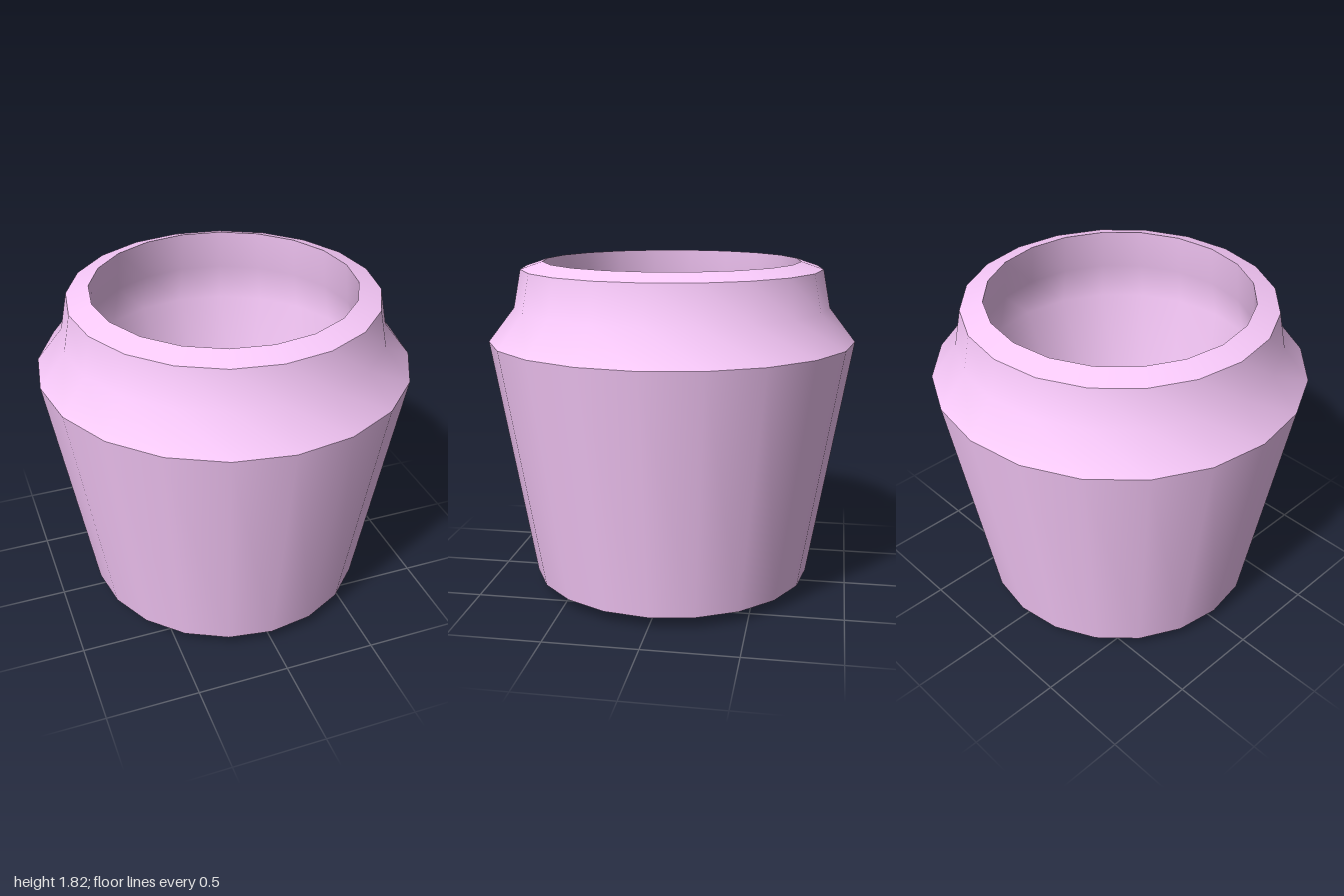
import * as THREE from 'three';

const SIDES = 20;

// Each band is turned separately, so edges between bands stay sharp
// while each band shades smoothly around the axis.
const BANDS = {
  base: [[0, 0], [0.775, 0.065]],
  body: [[0.775, 0.065], [1, 1.395]],
  shoulderAndNeck: [[1, 1.395], [0.86, 1.575], [0.82, 1.78]],
  rim: [[0.82, 1.78], [0.7, 1.82]],
  // The hollow widens below the neck, then narrows along the body
  innerWall: [[0.7, 1.82], [0.72, 1.6], [0.77, 1.38], [0.56, 0.2]],
  innerFloor: [[0.56, 0.2], [0, 0.2]],
};

export function createModel() {
  const pot = new THREE.Group();
  pot.name = 'pot';
  const material = new THREE.MeshStandardMaterial({ color: 0xf9cafb });

  for (const [name, profile] of Object.entries(BANDS)) {
    const points = profile.map(([r, y]) => new THREE.Vector2(r, y));
    const mesh = new THREE.Mesh(new THREE.LatheGeometry(points, SIDES), material);
    mesh.name = name;
    pot.add(mesh);
  }
  return pot;
}
